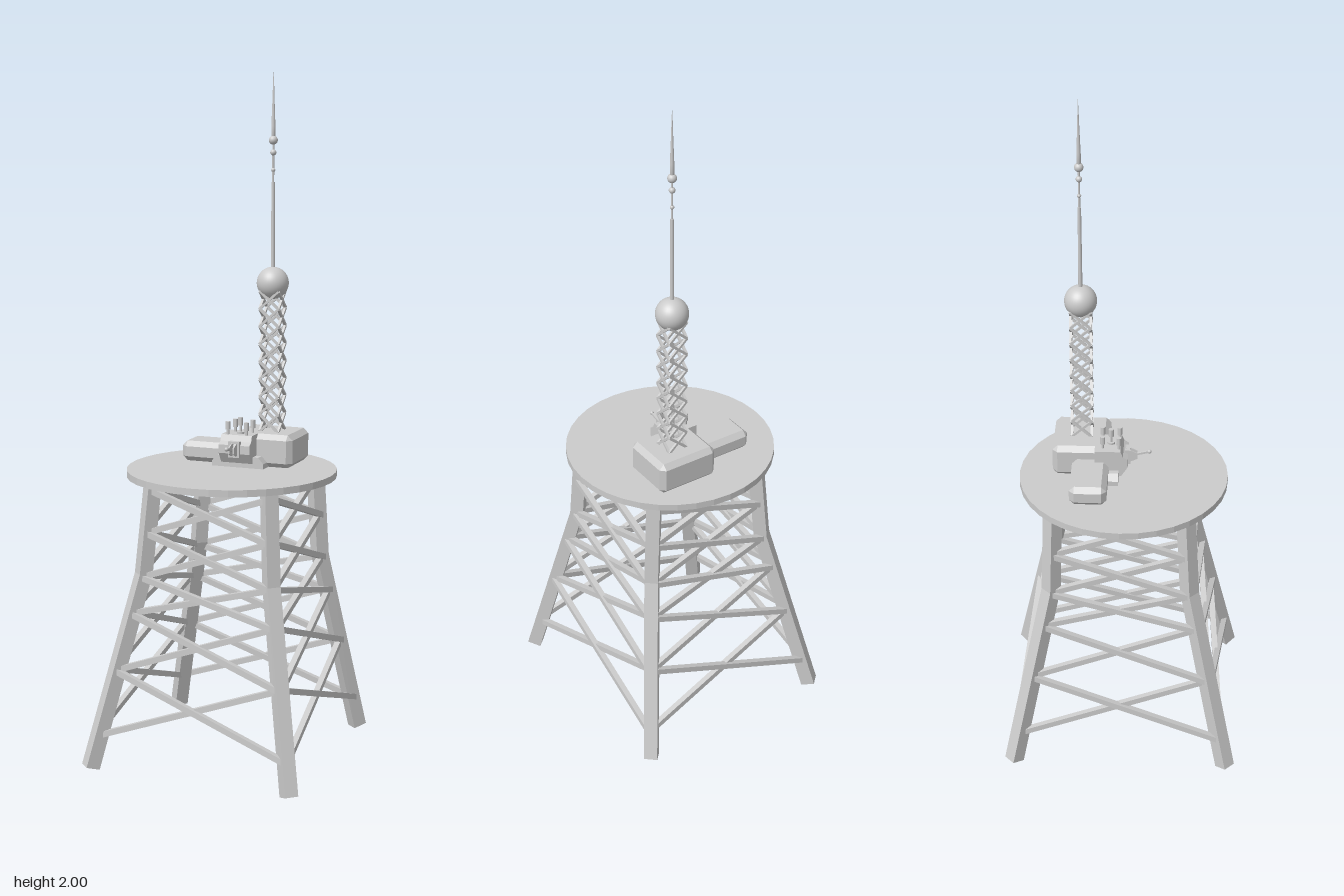
import * as THREE from 'three';
import { ConvexGeometry } from 'three/addons/geometries/ConvexGeometry.js';

const flat = new THREE.MeshStandardMaterial({ color: 0xcccccc, flatShading: true });
const smooth = new THREE.MeshStandardMaterial({ color: 0xcccccc });
const V = (x, y, z) => new THREE.Vector3(x, y, z);

function add(parent, name, geometry, x = 0, y = 0, z = 0, material = flat) {
  const mesh = new THREE.Mesh(geometry, material);
  mesh.name = name;
  mesh.position.set(x, y, z);
  parent.add(mesh);
  return mesh;
}

// Square bar between two points, one face turned towards `up`
function beam(parent, name, a, b, width, up = V(0, 1, 0)) {
  const mesh = add(parent, name, new THREE.BoxGeometry(width, width, a.distanceTo(b)));
  mesh.position.addVectors(a, b).multiplyScalar(0.5);
  mesh.quaternion.setFromRotationMatrix(new THREE.Matrix4().lookAt(b, a, up));
  return mesh;
}

// Box with every edge cut at 45 degrees
function chamferBox(w, h, d, c) {
  const points = [];
  for (const x of [-1, 1]) for (const y of [-1, 1]) for (const z of [-1, 1]) {
    points.push(
      V(x * w / 2, y * (h / 2 - c), z * (d / 2 - c)),
      V(x * (w / 2 - c), y * h / 2, z * (d / 2 - c)),
      V(x * (w / 2 - c), y * (h / 2 - c), z * d / 2));
  }
  return new ConvexGeometry(points);
}

// Extrude a [z, y] profile along x
function sideExtrude(points, width) {
  const shape = new THREE.Shape(points.map(([z, y]) => new THREE.Vector2(-z, y)));
  return new THREE.ExtrudeGeometry(shape, { depth: width, bevelEnabled: false })
    .translate(0, 0, -width / 2).rotateY(Math.PI / 2);
}

// Leg feet, in order around the tower; each leg is splayed below the knee, steeper above
const FEET = [[0.305, 0.324], [0.288, -0.331], [-0.312, -0.326], [-0.313, 0.318]];
const KNEE = 0.57, TOP = 0.84;
function legPoint([x, z], y) {
  const sx = Math.sign(x), sz = Math.sign(z);
  const foot = V(x, 0, z);
  const knee = V(sx * 0.197 + 0.005, KNEE, sz * 0.204 - 0.006);
  const top = V(sx * 0.178 + 0.01, TOP, sz * 0.192 - 0.01);
  return y < KNEE ? foot.lerp(knee, y / KNEE) : knee.lerp(top, (y - KNEE) / (TOP - KNEE));
}

// Bent leg: rows of a box moved onto the leg axis, foot cut square to the slope
function legGeometry(foot) {
  const geometry = new THREE.BoxGeometry(0.04, 1, 0.04, 1, 2, 1);
  const p = geometry.attributes.position;
  const heights = [0.006, KNEE, TOP];
  const out = V(foot[0], 0, foot[1]).normalize();
  const across = V(out.z, 0, -out.x);
  for (let i = 0; i < p.count; i++) {
    const row = Math.round((p.getY(i) + 0.5) * 2);
    const point = legPoint(foot, heights[row])
      .addScaledVector(out, p.getZ(i)).addScaledVector(across, p.getX(i));
    if (row === 0) point.y += 0.28 * p.getZ(i);
    p.setXYZ(i, point.x, point.y, point.z);
  }
  return geometry;
}

function buildSupport() {
  const support = new THREE.Group();
  support.name = 'supportTower';
  const levels = [0.1, 0.29, 0.455, 0.56, 0.69, 0.815];
  FEET.forEach((foot, side) => {
    add(support, 'leg', legGeometry(foot));
    // Crossed braces between this leg and the next
    const next = FEET[(side + 1) % 4];
    const normal = V(Math.cos(side * Math.PI / 2), 0, -Math.sin(side * Math.PI / 2));
    for (let i = 0; i < levels.length - 1; i++) {
      [[foot, next], [next, foot]].forEach(([from, to], k) => {
        const a = legPoint(from, levels[i]).addScaledVector(normal, 0.004 + 0.008 * k);
        const b = legPoint(to, levels[i + 1]).addScaledVector(normal, 0.004 + 0.008 * k);
        beam(support, 'crossBrace', a, b, 0.017, normal);
      });
    }
  });
  return support;
}

function buildStation() {
  const station = new THREE.Group();
  station.name = 'station';
  add(station, 'mainBuilding', chamferBox(0.188, 0.098, 0.166, 0.015), 0.073, 0.903, -0.13);
  add(station, 'sideBuilding', chamferBox(0.18, 0.06, 0.108, 0.015), -0.09, 0.885, -0.101);

  // Low base with sloping shoulders below the cabin
  const base = new THREE.Shape([[-0.068, 0.854], [0.093, 0.854], [0.093, 0.87], [0.077, 0.888], [-0.052, 0.888], [-0.068, 0.87]]
    .map(([x, y]) => new THREE.Vector2(x, y)));
  add(station, 'cabinBase', new THREE.ExtrudeGeometry(base, { depth: 0.05, bevelEnabled: false }), 0, 0, -0.068);

  // Cabin with a wedge-shaped front
  add(station, 'cabin', sideExtrude([[-0.088, 0.865], [-0.088, 0.952], [-0.012, 0.952], [-0.005, 0.934],
    [0.009, 0.925], [0.009, 0.9], [-0.01, 0.87]], 0.096), 0.012, 0, 0);

  // Window frame and jib arm on the cabin front
  for (const s of [-1, 1]) add(station, 'frontFramePost', new THREE.BoxGeometry(0.006, 0.045, 0.016), 0.014 + s * 0.014, 0.914, 0.008);
  for (const y of [0.893, 0.934]) add(station, 'frontFrameRail', new THREE.BoxGeometry(0.034, 0.006, 0.016), 0.014, y, 0.008);
  for (const s of [-1, 1]) {
    add(station, 'armBracket', sideExtrude([[0.003, 0.888], [0.003, 0.938], [0.036, 0.922], [0.036, 0.904]], 0.004), 0.014 + s * 0.007, 0, 0);
  }
  beam(station, 'arm', V(0.014, 0.91, 0.012), V(0.014, 0.925, 0.07), 0.006);
  add(station, 'armTip', new THREE.SphereGeometry(0.006, 12, 8), 0.014, 0.925, 0.071, smooth);

  // Roof vents with caps
  const vents = [[-0.013, -0.065, 0.99], [0.041, -0.067, 0.99], [0.013, -0.041, 1.0], [-0.017, -0.017, 0.99], [0.041, -0.017, 0.99]];
  for (const [x, z, top] of vents) {
    const vent = new THREE.Group();
    vent.name = 'roofVent';
    add(vent, 'ventPipe', new THREE.CylinderGeometry(0.004, 0.004, top - 0.95, 10), x, (top + 0.95) / 2, z);
    add(vent, 'ventCap', new THREE.CylinderGeometry(0.0075, 0.0075, 0.024, 12), x, top - 0.012, z);
    station.add(vent);
  }
  add(station, 'centreVentFlange', new THREE.CylinderGeometry(0.011, 0.011, 0.006, 16), 0.013, 0.955, -0.041);
  return station;
}

function buildMast() {
  const mast = new THREE.Group();
  mast.name = 'mast';
  mast.position.set(0.078, 0, -0.13);
  // Lattice of crossed bars on four faces
  const count = 8, bottom = 0.95, step = 0.052, r = 0.029;
  for (let side = 0; side < 4; side++) {
    const face = new THREE.Group();
    face.name = 'mastLattice';
    face.rotation.y = side * Math.PI / 2;
    for (let i = 0; i < count; i++) {
      const y = bottom + i * step;
      for (const s of [-1, 1]) beam(face, 'latticeBar', V(-s * r, y, r), V(s * r, y + step, r), 0.007, V(0, 0, 1));
    }
    mast.add(face);
  }
  add(mast, 'mastBall', new THREE.SphereGeometry(0.047, 32, 20), 0, 1.388, 0, smooth);
  // Antenna: rod, beads and tapering spike
  add(mast, 'antennaRod', new THREE.CylinderGeometry(0.005, 0.006, 0.25, 12), 0, 1.555, 0, smooth);
  add(mast, 'antennaThinRod', new THREE.CylinderGeometry(0.003, 0.003, 0.16, 10), 0, 1.74, 0, smooth);
  for (const [y, radius] of [[1.715, 0.006], [1.765, 0.009], [1.8, 0.013]]) {
    add(mast, 'antennaBead', new THREE.SphereGeometry(radius, 16, 12), 0, y, 0, smooth);
  }
  const spike = [[0, 1.805], [0.006, 1.81], [0.006, 1.84], [0.003, 1.92], [0.0015, 1.97], [0, 2]]
    .map(([x, y]) => new THREE.Vector2(x, y));
  add(mast, 'antennaSpike', new THREE.LatheGeometry(spike, 12), 0, 0, 0, smooth);
  return mast;
}

export function createModel() {
  const model = new THREE.Group();
  model.name = 'lookoutTower';
  model.add(buildSupport());
  add(model, 'platform', new THREE.CylinderGeometry(0.307, 0.307, 0.02, 36), 0, 0.845, -0.004);
  model.add(buildStation(), buildMast());
  return model;
}
